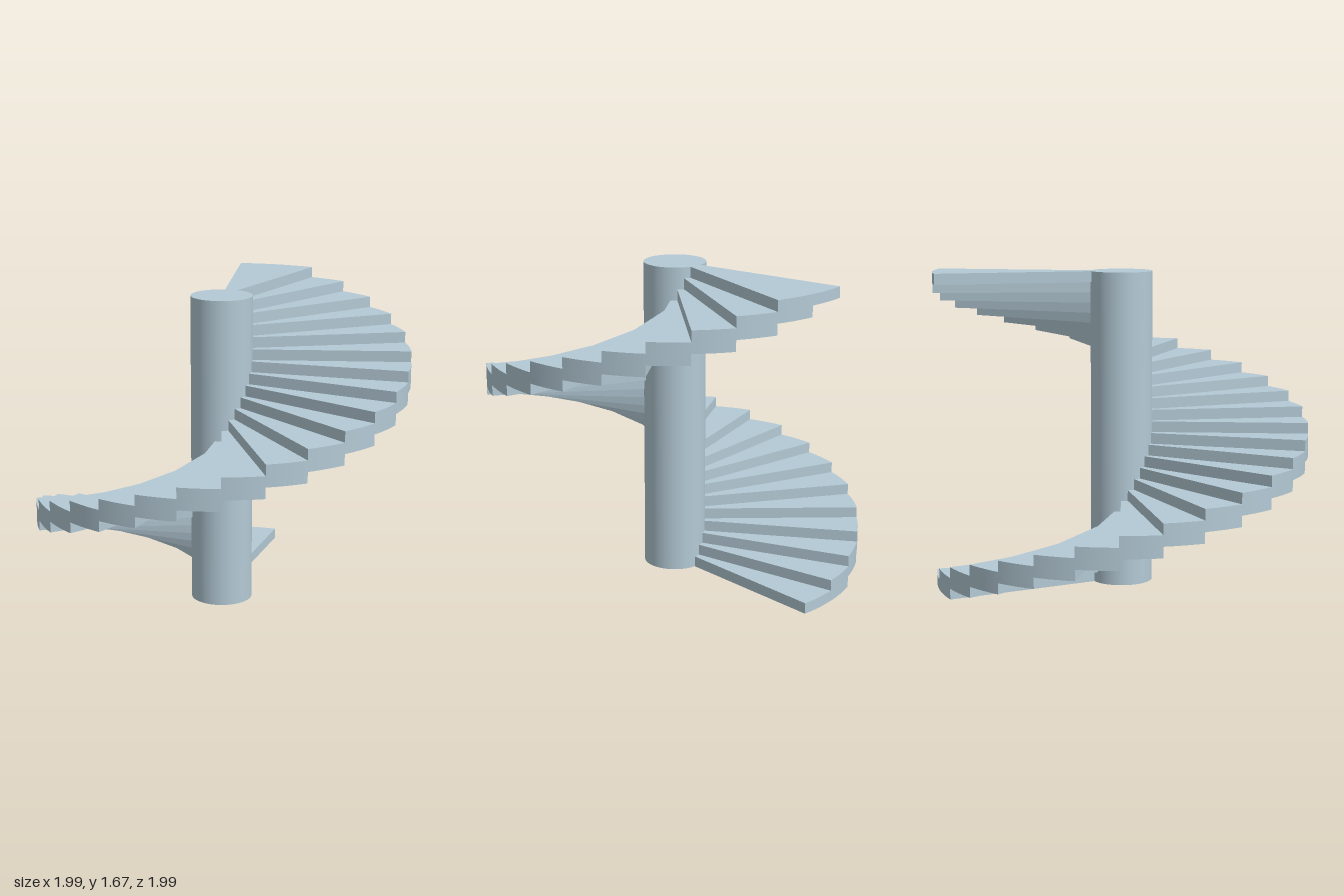
import * as THREE from 'three';
import { toCreasedNormals } from 'three/addons/utils/BufferGeometryUtils.js';

const STEPS = 29;
const HEIGHT = 1.67;
const RISE = HEIGHT / STEPS;
const PITCH = (Math.PI * 2) / STEPS; // one full turn
const OUTER = 0.997;
const COLUMN = 0.164;

// Wedge tread, two pitches wide so each overlaps the next one above
function treadGeometry() {
  const start = Math.PI / 2;
  const end = start + 2 * PITCH;
  const shape = new THREE.Shape();
  shape.absarc(0, 0, OUTER, start, end, false);
  shape.absarc(0, 0, COLUMN - 0.001, end, start, true);
  const geometry = new THREE.ExtrudeGeometry(shape, {
    depth: RISE,
    bevelEnabled: false,
    curveSegments: 12,
  });
  geometry.rotateX(-Math.PI / 2);
  return toCreasedNormals(geometry, 0.5);
}

export function createModel() {
  const group = new THREE.Group();
  group.name = 'spiralStaircase';
  const material = new THREE.MeshStandardMaterial({ color: 0xb4cad6 });

  // Central column, flush with the top tread
  const column = new THREE.Mesh(
    new THREE.CylinderGeometry(COLUMN, COLUMN, HEIGHT, 64),
    material
  );
  column.name = 'column';
  column.position.y = HEIGHT / 2;
  group.add(column);

  // Treads climb from the back round by -x, the front and +x
  const treads = new THREE.Group();
  treads.name = 'treads';
  const geometry = treadGeometry();
  for (let i = 0; i < STEPS; i++) {
    const tread = new THREE.Mesh(geometry, material);
    tread.name = `tread${i + 1}`;
    tread.position.y = i * RISE;
    tread.rotation.y = (i + 1) * PITCH;
    treads.add(tread);
  }
  group.add(treads);

  group.position.z = -0.003;
  return group;
}
